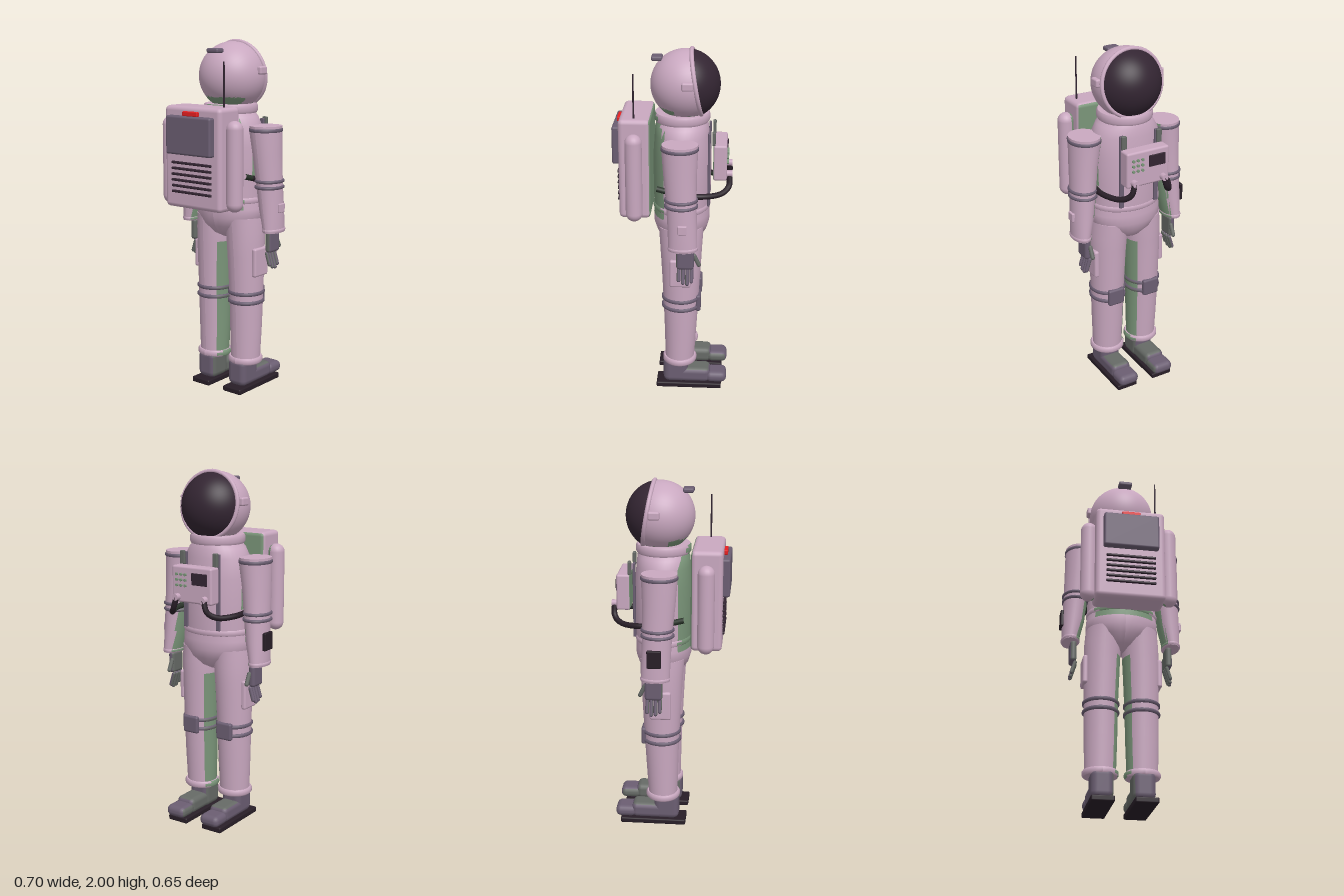
import * as THREE from 'three';
import { RoundedBoxGeometry } from 'three/addons/geometries/RoundedBoxGeometry.js';

export function createModel() {
  const root = new THREE.Group();
  const material = (name, color) => {
    const m = new THREE.MeshStandardMaterial({ color });
    m.name = name;
    return m;
  };
  const suit = material('suit', 0xc9a8c0);
  const green = material('suit green', 0x7b967a);
  const grey = material('trim grey', 0x6b5e72);
  const greyGreen = material('trim grey green', 0x666a66);
  const dark = material('visor dark', 0x332532);
  const black = material('sole black', 0x281e27);
  const darkGreen = material('hose dark green', 0x2b352b);
  const red = material('signal red', 0xea2022);

  const add = (name, geo, mat, x = 0, y = 0, z = 0) => {
    const m = new THREE.Mesh(geo, mat);
    m.name = name;
    m.position.set(x, y, z);
    root.add(m);
    return m;
  };
  const box = (name, mat, w, h, d, x, y, z, r = 0.01) =>
    add(name, new RoundedBoxGeometry(w, h, d, 2, Math.min(r, w / 2.1, h / 2.1, d / 2.1)), mat, x, y, z);

  // Second colour on the faces whose centre c and normal n pass the test
  const patch = (mesh, mat, test) => {
    mesh.updateMatrix();
    const g = mesh.geometry, p = g.attributes.position;
    const ids = g.index ? Array.from(g.index.array) : Array.from({ length: p.count }, (_, i) => i);
    const parts = [[], []];
    const t = new THREE.Triangle(), c = new THREE.Vector3(), n = new THREE.Vector3();
    for (let i = 0; i < ids.length; i += 3) {
      const f = ids.slice(i, i + 3);
      [t.a, t.b, t.c].forEach((v, k) => v.fromBufferAttribute(p, f[k]).applyMatrix4(mesh.matrix));
      t.getMidpoint(c);
      t.getNormal(n);
      parts[test(c, n) ? 1 : 0].push(...f);
    }
    g.setIndex([...parts[0], ...parts[1]]);
    g.clearGroups();
    g.addGroup(0, parts[0].length, 0);
    g.addGroup(parts[0].length, parts[1].length, 1);
    mesh.material = [mesh.material, mat];
  };

  // Elliptical loft from top to bottom: [x, y, z, rx, rz]
  const loft = (name, mat, rows, seg = 32) => {
    const n = rows.length - 1;
    const g = new THREE.CylinderGeometry(1, 1, 1, seg, n);
    const p = g.attributes.position;
    for (let i = 0; i < p.count; i++) {
      const [x, y, z, rx, rz] = rows[Math.round((0.5 - p.getY(i)) * n)];
      p.setXYZ(i, x + p.getX(i) * rx, y, z + p.getZ(i) * rz);
    }
    g.computeVertexNormals();
    return add(name, g, mat);
  };
  const band = (name, mat, x, y, z, rx, rz, h) => {
    const b = 0.007;
    return loft(name, mat, [
      [x, y + h / 2, z, rx - b, rz - b], [x, y + h / 4, z, rx, rz],
      [x, y - h / 4, z, rx, rz], [x, y - h / 2, z, rx - b, rz - b],
    ]);
  };
  const rod = (name, mat, points, r) =>
    add(name, new THREE.TubeGeometry(
      new THREE.CatmullRomCurve3(points.map(p => new THREE.Vector3(...p))), 32, r, 10), mat);

  // Torso, hips and collar
  const torso = loft('torso', suit, [
    [0, 1.61, -0.048, 0.13, 0.13], [0, 1.58, -0.048, 0.16, 0.145], [0, 1.53, -0.048, 0.19, 0.15],
    [0, 1.42, -0.05, 0.205, 0.16], [0, 1.25, -0.05, 0.2, 0.16], [0, 1.12, -0.048, 0.198, 0.155],
  ], 40);
  patch(torso, green, (c, n) => n.z > 0.65 || (Math.abs(n.x) > 0.95 && c.y > 1.25));
  const hips = loft('hips', suit, [
    [0, 1.14, -0.048, 0.195, 0.15], [0, 1.07, -0.048, 0.205, 0.157], [0, 1.02, -0.048, 0.207, 0.155],
    [0, 0.97, -0.048, 0.17, 0.14], [0, 0.92, -0.048, 0.09, 0.1], [0, 0.895, -0.048, 0.03, 0.05],
  ], 40);
  patch(hips, green, (c, n) => c.y > 1.06 && n.z > 0.65);
  patch(band('waistRing', suit, 0, 1.12, -0.048, 0.205, 0.16, 0.035), green, (c, n) => n.z > 0.65);
  patch(band('neckRing', suit, 0, 1.625, -0.048, 0.153, 0.153, 0.05), green, (c, n) => n.z > 0.8);

  // Helmet: the pole of both sphere parts points forward and slightly up
  const R = 0.189, cut = 1.22, tilt = -Math.PI / 2 + 0.17;
  const helmet = [
    ['visor', new THREE.SphereGeometry(R, 48, 20, 0, Math.PI * 2, 0, cut), dark],
    ['visorRim', new THREE.TorusGeometry(0.18, 0.012, 10, 48).rotateX(Math.PI / 2).translate(0, 0.063, 0), suit],
    ['helmetShell', new THREE.SphereGeometry(R, 48, 28, 0, Math.PI * 2, cut, Math.PI - cut), suit],
  ].map(([name, geo, mat]) => {
    const m = add(name, geo, mat, 0, 1.801, -0.065);
    m.rotation.x = tilt;
    return m;
  });
  patch(helmet[2], green, c => c.y < 1.65 || (c.y < 1.69 && c.z > -0.01));
  box('helmetLamp', grey, 0.08, 0.026, 0.06, 0, 1.942, 0.088);

  // Backpack
  patch(box('backpack', suit, 0.395, 0.56, 0.172, 0, 1.37, 0.2, 0.025), green, (c, n) => n.z < -0.6);
  box('packPanel', grey, 0.315, 0.21, 0.05, 0, 1.495, 0.299, 0.012);
  box('packBeacon', red, 0.104, 0.026, 0.03, 0, 1.612, 0.29, 0.005);
  for (let i = 0; i < 6; i++) box('ventSlat', dark, 0.28, 0.014, 0.016, 0, 1.342 - i * 0.032, 0.29, 0.005);
  add('antenna', new THREE.CylinderGeometry(0.004, 0.005, 0.25, 8), dark, 0.157, 1.765, 0.203);

  // Chest unit with screen and buttons
  patch(box('chestUnit', suit, 0.26, 0.2, 0.075, 0, 1.395, -0.26, 0.012), green, (c, n) => n.z > 0.6);
  box('chestScreen', dark, 0.1, 0.065, 0.009, -0.053, 1.43, -0.299, 0.003);
  for (let i = 0; i < 3; i++) for (let j = 0; j < 3; j++)
    add('chestButton', new THREE.CylinderGeometry(0.008, 0.008, 0.012, 10).rotateX(Math.PI / 2),
      green, 0.038 + i * 0.028, 1.45 - j * 0.03, -0.302);

  for (const s of [1, -1]) {
    const inward = k => (c, n) => n.x * s < -k;
    box('helmetHinge', suit, 0.03, 0.045, 0.062, s * 0.192, 1.835, -0.083);
    const tank = add('sideTank', new THREE.CapsuleGeometry(0.046, 0.4, 8, 20), suit, s * 0.228, 1.337, 0.2);
    patch(tank, green, (c, n) => n.x * s < -0.4 && n.z < 0.2);

    // Harness and hoses
    box('harnessStrap', grey, 0.026, 0.42, 0.014, s * 0.108, 1.35, -0.2, 0.004);
    box('strapClip', greyGreen, 0.03, 0.075, 0.018, s * 0.108, 1.53, -0.225, 0.005);
    add('hosePort', new THREE.CylinderGeometry(0.019, 0.019, 0.045, 14).rotateX(Math.PI / 2),
      suit, s * 0.09, 1.325, -0.305);
    const hose = rod('airHose', black, [
      [s * 0.09, 1.325, -0.312], [s * 0.112, 1.26, -0.31], [s * 0.15, 1.23, -0.27],
      [s * 0.203, 1.23, -0.16], [s * 0.2, 1.24, -0.04], [s * 0.198, 1.268, 0.08],
    ], 0.016);
    patch(hose, darkGreen, (c, n) => c.z > 0.02 || (c.z > -0.25 && n.x * s < -0.5));

    // Arm
    const arm = loft('arm', suit, [
      [s * 0.247, 1.54, -0.048, 0.086, 0.097], [s * 0.248, 1.5, -0.048, 0.086, 0.097],
      [s * 0.258, 1.38, -0.05, 0.077, 0.09], [s * 0.268, 1.215, -0.058, 0.069, 0.082],
      [s * 0.279, 1.08, -0.064, 0.063, 0.08], [s * 0.294, 0.95, -0.068, 0.047, 0.079],
    ]);
    patch(arm, green, inward(0.72));
    const rings = [band('shoulderRing', grey, s * 0.248, 1.517, -0.048, 0.09, 0.101, 0.024)];
    for (const y of [1.237, 1.203]) rings.push(band('elbowBand', grey, s * 0.268, y, -0.057, 0.078, 0.091, 0.018));
    rings.forEach(r => patch(r, greyGreen, inward(0.7)));
    patch(band('cuff', suit, s * 0.292, 0.962, -0.068, 0.053, 0.082, 0.026), green, inward(0.7));
    if (s > 0) box('sleeveButton', suit, 0.02, 0.05, 0.05, 0.342, 1.09, -0.066, 0.005);
    else box('wristDisplay', black, 0.02, 0.1, 0.078, -0.343, 1.09, -0.07, 0.006);

    // Glove
    const glove = [box('palm', grey, 0.038, 0.125, 0.098, s * 0.275, 0.892, -0.08, 0.017)];
    for (let i = 0; i < 4; i++) {
      const len = [0.085, 0.1, 0.105, 0.09][i];
      const f = add('finger', new THREE.CapsuleGeometry(0.011, len - 0.022, 4, 10), grey,
        s * 0.273, 0.835 - len / 2, -0.045 - i * 0.0235);
      f.rotation.z = s * 0.3;
      glove.push(f);
    }
    glove.forEach(m => patch(m, greyGreen, (c, n) => n.x * s < -0.3 || n.z > 0.7));
    const thumb = add('thumb', new THREE.CapsuleGeometry(0.012, 0.06, 4, 10), greyGreen, s * 0.265, 0.88, -0.142);
    thumb.rotation.x = 0.45;

    // Leg
    const leg = loft('leg', suit, [
      [s * 0.105, 1.02, -0.048, 0.1, 0.125], [s * 0.108, 0.93, -0.05, 0.105, 0.12],
      [s * 0.11, 0.86, -0.05, 0.103, 0.116], [s * 0.112, 0.8, -0.05, 0.102, 0.112],
      [s * 0.115, 0.56, -0.05, 0.095, 0.1], [s * 0.115, 0.38, -0.048, 0.092, 0.092],
      [s * 0.115, 0.17, -0.044, 0.085, 0.083],
    ]);
    patch(leg, green, (c, n) => n.x * s < -0.72 && c.y < 0.87);
    for (const y of [0.582, 0.53])
      patch(band('kneeBand', grey, s * 0.115, y, -0.05, 0.104, 0.11, 0.022), greyGreen, inward(0.7));
    box('kneePad', grey, 0.1, 0.1, 0.03, s * 0.115, 0.555, -0.15, 0.012);
    box('thighPocket', suit, 0.03, 0.165, 0.12, s * 0.21, 0.768, -0.05, 0.012);
    patch(band('ankleRing', suit, s * 0.115, 0.18, -0.044, 0.1, 0.098, 0.036), green, inward(0.75));

    // Boot
    patch(box('bootShaft', grey, 0.125, 0.16, 0.145, s * 0.113, 0.11, -0.022, 0.035), greyGreen, inward(0.6));
    patch(box('bootInstep', grey, 0.12, 0.09, 0.19, s * 0.115, 0.078, -0.13, 0.03), greyGreen,
      (c, n) => n.x * s < -0.6 || n.y > 0.7);
    patch(box('bootToe', grey, 0.125, 0.066, 0.12, s * 0.116, 0.068, -0.26, 0.03), greyGreen, inward(0.6));
    box('sole', black, 0.128, 0.032, 0.38, s * 0.117, 0.016, -0.1, 0.008);
  }
  return root;
}
